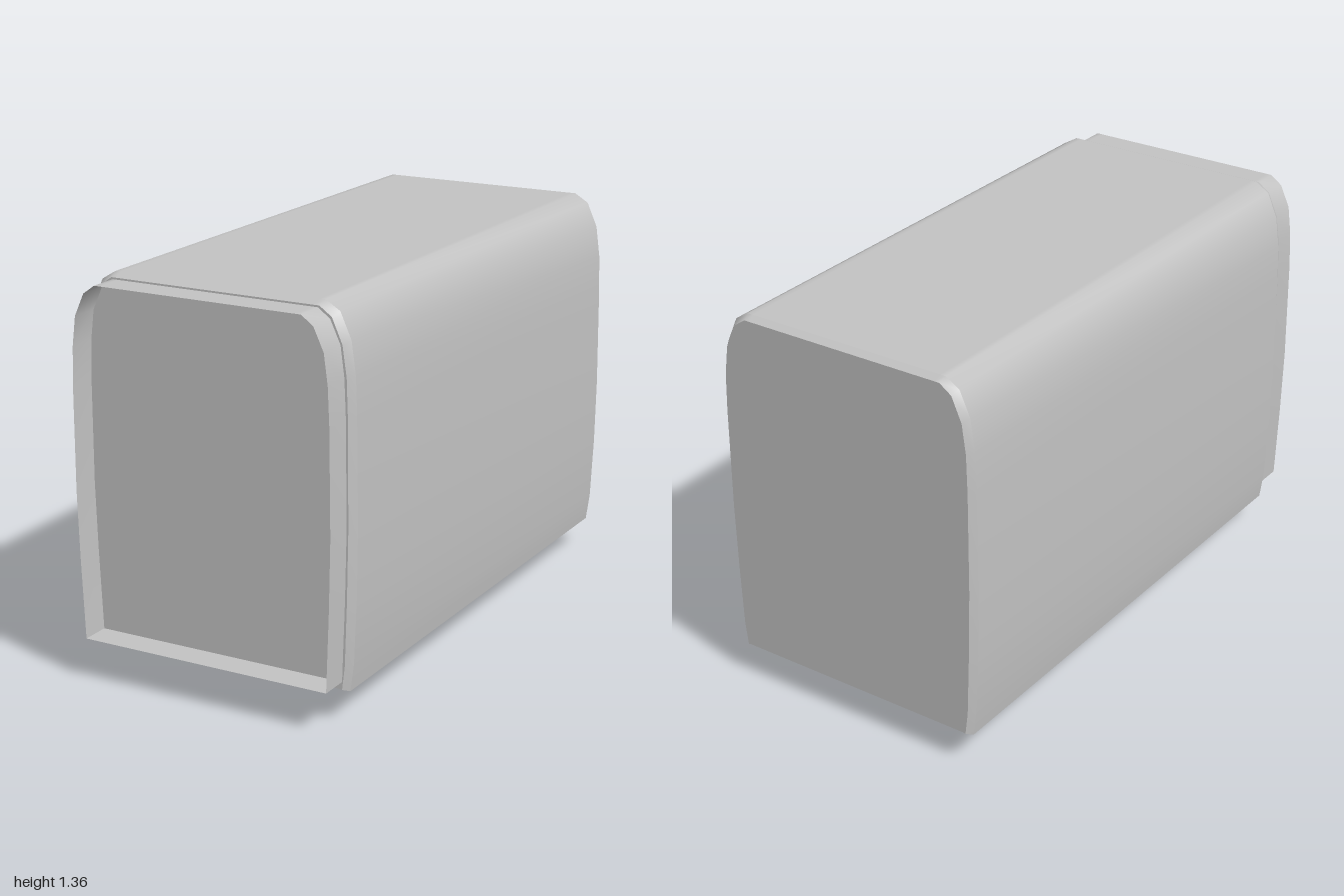
import * as THREE from 'three';
import { toCreasedNormals } from 'three/addons/utils/BufferGeometryUtils.js';

// Half cross-sections (x >= 0), from the bottom edge up to the roof
const OUTER = [[0.45, 0.12], [0.463, 0.105], [0.476, 0.2], [0.486, 0.42], [0.49, 0.65], [0.487, 1.0],
  [0.483, 1.13], [0.468, 1.24], [0.43, 1.325], [0.38, 1.355], [0.36, 1.355]];
const END = [[0.44, 0.12], [0.45, 0.118], [0.46, 0.2], [0.468, 0.42], [0.473, 0.65], [0.472, 1.0],
  [0.468, 1.13], [0.454, 1.23], [0.418, 1.312], [0.375, 1.342], [0.355, 1.342]];
const SLEEVE = [[0.45, 0.145], [0.461, 0.42], [0.467, 0.65], [0.465, 1.0],
  [0.46, 1.13], [0.447, 1.23], [0.412, 1.306], [0.37, 1.336], [0.35, 1.336]];

// Full counter-clockwise ring from a half cross-section
const ring = (half) => [...half, ...half.map(([x, y]) => [-x, y]).reverse()];

// Open skin between two rings of equal count
function skin(halfA, zA, halfB, zB) {
  const a = ring(halfA), b = ring(halfB), n = a.length;
  const positions = [], index = [];
  a.forEach(([x, y]) => positions.push(x, y, zA));
  b.forEach(([x, y]) => positions.push(x, y, zB));
  for (let i = 0; i < n; i++) {
    const j = (i + 1) % n;
    index.push(i, j, n + j, i, n + j, n + i);
  }
  const g = new THREE.BufferGeometry();
  g.setAttribute('position', new THREE.Float32BufferAttribute(positions, 3));
  g.setIndex(index);
  return toCreasedNormals(g, 0.7);
}

const shapeOf = (points) => new THREE.Shape(points.map(([x, y]) => new THREE.Vector2(x, y)));

export function createModel() {
  const model = new THREE.Group();
  const grey = new THREE.MeshStandardMaterial({ color: 0xc2c2c2, side: THREE.DoubleSide });
  grey.name = 'light grey';

  const add = (name, geometry, parent = model) => {
    const mesh = new THREE.Mesh(geometry, grey);
    mesh.name = name;
    parent.add(mesh);
    return mesh;
  };

  // Long rounded body with bevelled ends
  add('bodyShell', skin(OUTER, -0.975, OUTER, 0.87));
  add('frontBevel', skin(OUTER, 0.87, END, 0.9));
  add('backBevel', skin(END, -1, OUTER, -0.975));
  add('frontPanel', new THREE.ShapeGeometry(shapeOf(ring(END)))).position.z = 0.9;
  const back = add('backPanel', new THREE.ShapeGeometry(shapeOf(ring(END))));
  back.rotation.y = Math.PI;
  back.position.z = -1;

  // Thin open sleeve around the front panel
  add('frontSleeve', skin(SLEEVE, 0.9, SLEEVE, 1));

  // Two runners, each carrying two faceted feet
  const footShape = shapeOf([[-0.111, 0.12], [-0.111, 0.105], [-0.085, 0.035], [0, 0],
    [0.085, 0.035], [0.111, 0.105], [0.111, 0.12]]);
  for (const side of [-1, 1]) {
    const undercarriage = new THREE.Group();
    undercarriage.name = side > 0 ? 'leftUndercarriage' : 'rightUndercarriage';
    model.add(undercarriage);
    add('runner', new THREE.BoxGeometry(0.08, 0.016, 1), undercarriage)
      .position.set(side * 0.33, 0.113, -0.05);
    for (const z of [0.32, -0.415]) {
      const geometry = new THREE.ExtrudeGeometry(footShape, { depth: 0.038, bevelEnabled: false });
      geometry.translate(0, 0, -0.019).rotateY(Math.PI / 2);
      add('foot', geometry, undercarriage).position.set(side * 0.307, 0, z);
    }
  }
  return model;
}
